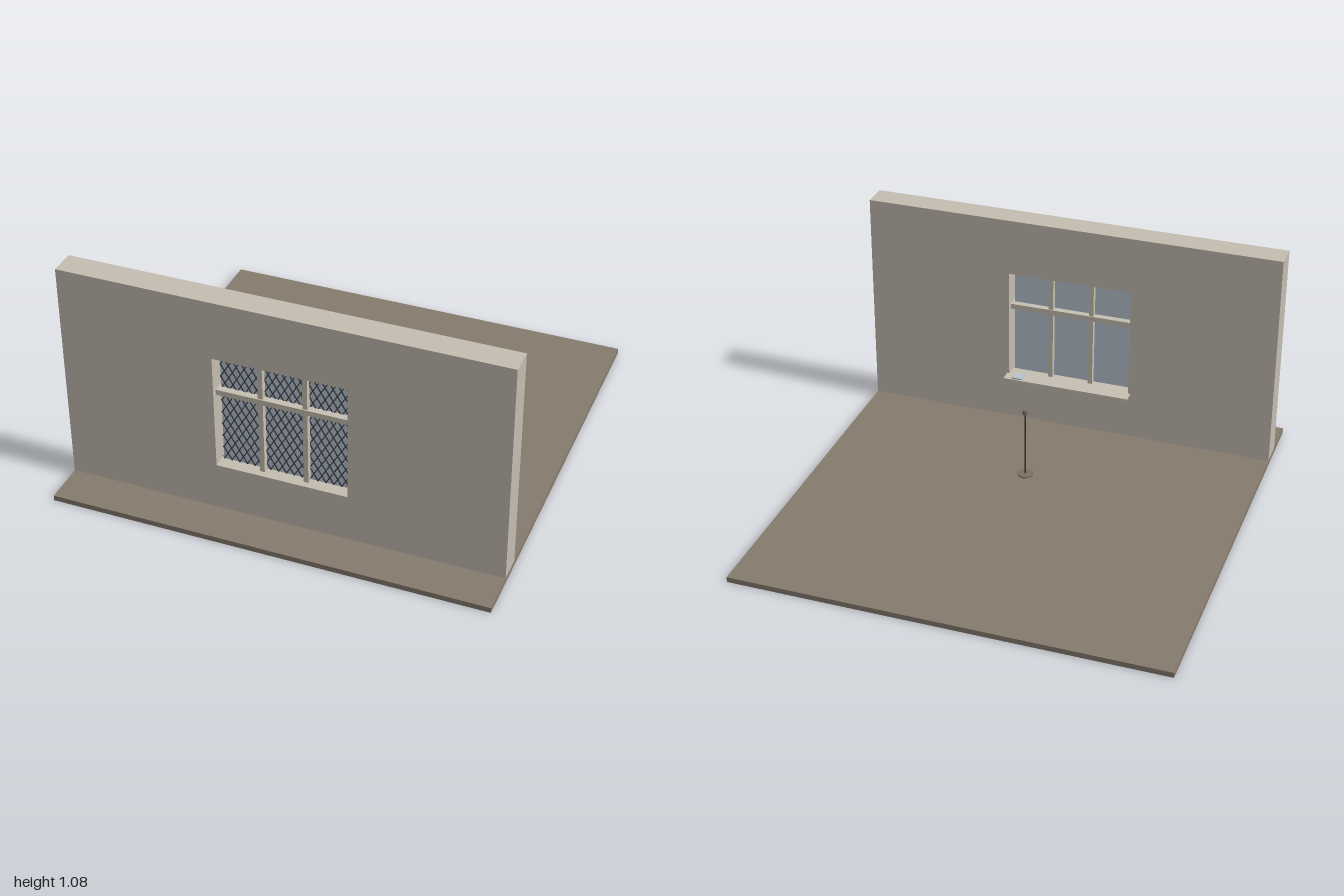
import * as THREE from 'three';
import { mergeGeometries } from 'three/addons/utils/BufferGeometryUtils.js';

const mat = (name, color) => {
  const m = new THREE.MeshStandardMaterial({ color });
  m.name = name;
  return m;
};

export function createModel() {
  const root = new THREE.Group();
  root.name = 'windowWallSet';
  const plaster = mat('plaster', 0xc4bdb1);
  const ground = mat('earth', 0x867a6d);
  const stone = mat('paleStone', 0xc6c0b2);
  const glass = mat('glass', 0xb9c4d0);
  const lead = mat('lead', 0x3c4047);
  const iron = mat('darkIron', 0x33302d);
  const brass = mat('dullBrown', 0x7a6f62);

  const add = (name, geometry, material, x = 0, y = 0, z = 0, parent = root) => {
    const mesh = new THREE.Mesh(geometry, material);
    mesh.name = name;
    mesh.position.set(x, y, z);
    parent.add(mesh);
    return mesh;
  };
  // box given by its minimum and maximum corners
  const box = (name, material, [x0, y0, z0], [x1, y1, z1], parent = root) =>
    add(name, new THREE.BoxGeometry(x1 - x0, y1 - y0, z1 - z0), material,
      (x0 + x1) / 2, (y0 + y1) / 2, (z0 + z1) / 2, parent);

  box('floor', ground, [-1, 0, -1], [1, 0.025, 1]);

  // wall with a window opening
  const outline = new THREE.Shape([[-1, 0.025], [1, 0.025], [1, 1.075], [-1, 1.075]]
    .map(p => new THREE.Vector2(...p)));
  outline.holes.push(new THREE.Path([[-0.3, 0.25], [-0.3, 0.8], [0.3, 0.8], [0.3, 0.25]]
    .map(p => new THREE.Vector2(...p))));
  add('wall', new THREE.ExtrudeGeometry(outline, { depth: 0.12, bevelEnabled: false }), plaster, 0, 0, 0.686);

  // window: bars, glass and diamond leading
  const win = new THREE.Group();
  win.name = 'window';
  root.add(win);
  for (const s of [-1, 1]) {
    box('mullion', stone, [s * 0.1 - 0.011, 0.25, 0.716], [s * 0.1 + 0.011, 0.8, 0.776], win);
  }
  box('transom', stone, [-0.3, 0.603, 0.711], [0.3, 0.628, 0.781], win);
  box('glassPane', glass, [-0.29, 0.25, 0.742], [0.29, 0.8, 0.748], win);

  // slanted lead strips, each clipped to the pane
  const strips = [];
  const [left, right, bottom, top] = [-0.29, 0.29, 0.25, 0.8];
  const pitch = 0.036, slope = 1.7;
  const reach = (top - bottom) / slope;
  for (const dir of [1, -1]) {
    for (let x = left - reach; x < right + reach; x += pitch) {
      // foot of the line at the pane bottom, mirrored for the other direction
      const xa = Math.max(x, left), xb = Math.min(x + reach, right);
      if (xb - xa < 0.004) continue;
      const ya = bottom + (xa - x) * slope, yb = bottom + (xb - x) * slope;
      const strip = new THREE.BoxGeometry(Math.hypot(xb - xa, yb - ya), 0.0045, 0.004);
      strip.rotateZ(dir * Math.atan(slope));
      strip.translate(dir * (xa + xb) / 2, (ya + yb) / 2, 0.75);
      strips.push(strip);
    }
  }
  add('leadLattice', mergeGeometries(strips), lead, 0, 0, 0, win);

  // inner sill with a small slab lying on it
  box('sill', stone, [-0.31, 0.25, 0.63], [0.31, 0.261, 0.742]);
  box('sillSlab', glass, [0.22, 0.261, 0.637], [0.27, 0.268, 0.688]);

  // slender stand
  const stand = new THREE.Group();
  stand.name = 'stand';
  stand.position.set(0.05, 0.025, 0.2);
  root.add(stand);
  add('standBase', new THREE.CylinderGeometry(0.037, 0.037, 0.007, 24), brass, 0, 0.0035, 0, stand);
  add('standPole', new THREE.CylinderGeometry(0.004, 0.004, 0.33, 12), iron, 0, 0.17, 0, stand);
  add('standHead', new THREE.CylinderGeometry(0.012, 0.012, 0.022, 16), brass, 0, 0.338, 0, stand);
  const nub = new THREE.CylinderGeometry(0.004, 0.006, 0.012, 10);
  nub.rotateX(Math.PI / 2);
  add('standNub', nub, iron, 0, 0.338, 0.016, stand);

  return root;
}
